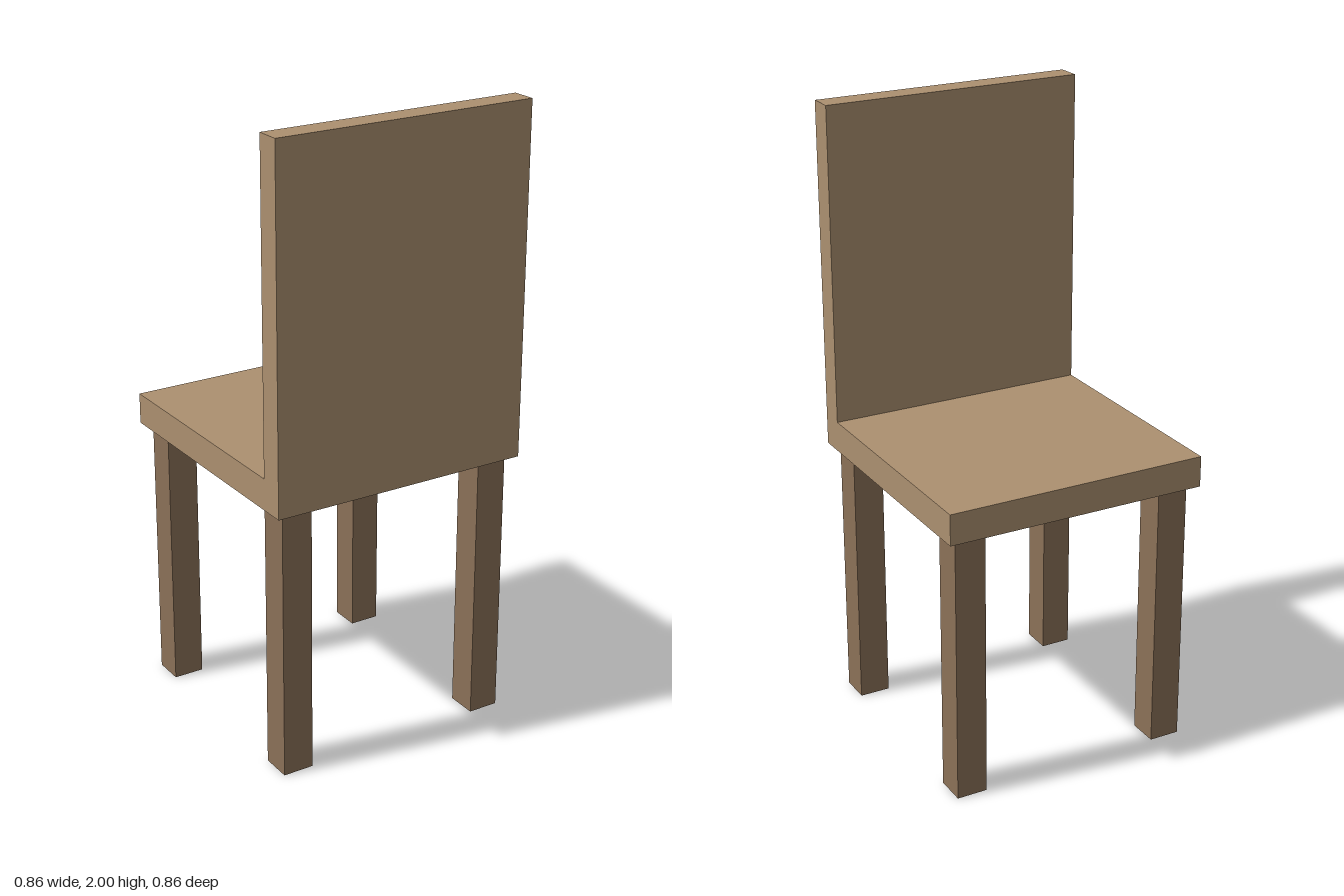
import * as THREE from 'three';

export function createModel() {
  const model = new THREE.Group();
  model.name = 'chair';
  const panelWood = new THREE.MeshStandardMaterial({ color: 0xac9070 });
  const legWood = new THREE.MeshStandardMaterial({ color: 0x8b7158 });

  // Adds a box whose underside rests at the given height
  function addBox(name, material, [w, h, d], [x, bottom, z]) {
    const mesh = new THREE.Mesh(new THREE.BoxGeometry(w, h, d), material);
    mesh.name = name;
    mesh.position.set(x, bottom + h / 2, z);
    model.add(mesh);
  }

  const width = 0.86, legHeight = 0.88, seatThickness = 0.1, backThickness = 0.08;
  const seatTop = legHeight + seatThickness;

  // Square seat, with the backrest standing on its +z edge
  addBox('seat', panelWood, [width, seatThickness, width], [0, legHeight, 0]);
  addBox('backrest', panelWood, [width, 2 - seatTop, backThickness],
    [0, seatTop, (width - backThickness) / 2]);

  // Four square legs, set in slightly from the corners
  for (const [side, x] of [['Left', 0.35], ['Right', -0.35]]) {
    for (const [end, z] of [['backrest', 0.35], ['open', -0.35]]) {
      addBox(`${end}End${side}Leg`, legWood, [0.1, legHeight, 0.1], [x, 0, z]);
    }
  }
  return model;
}
